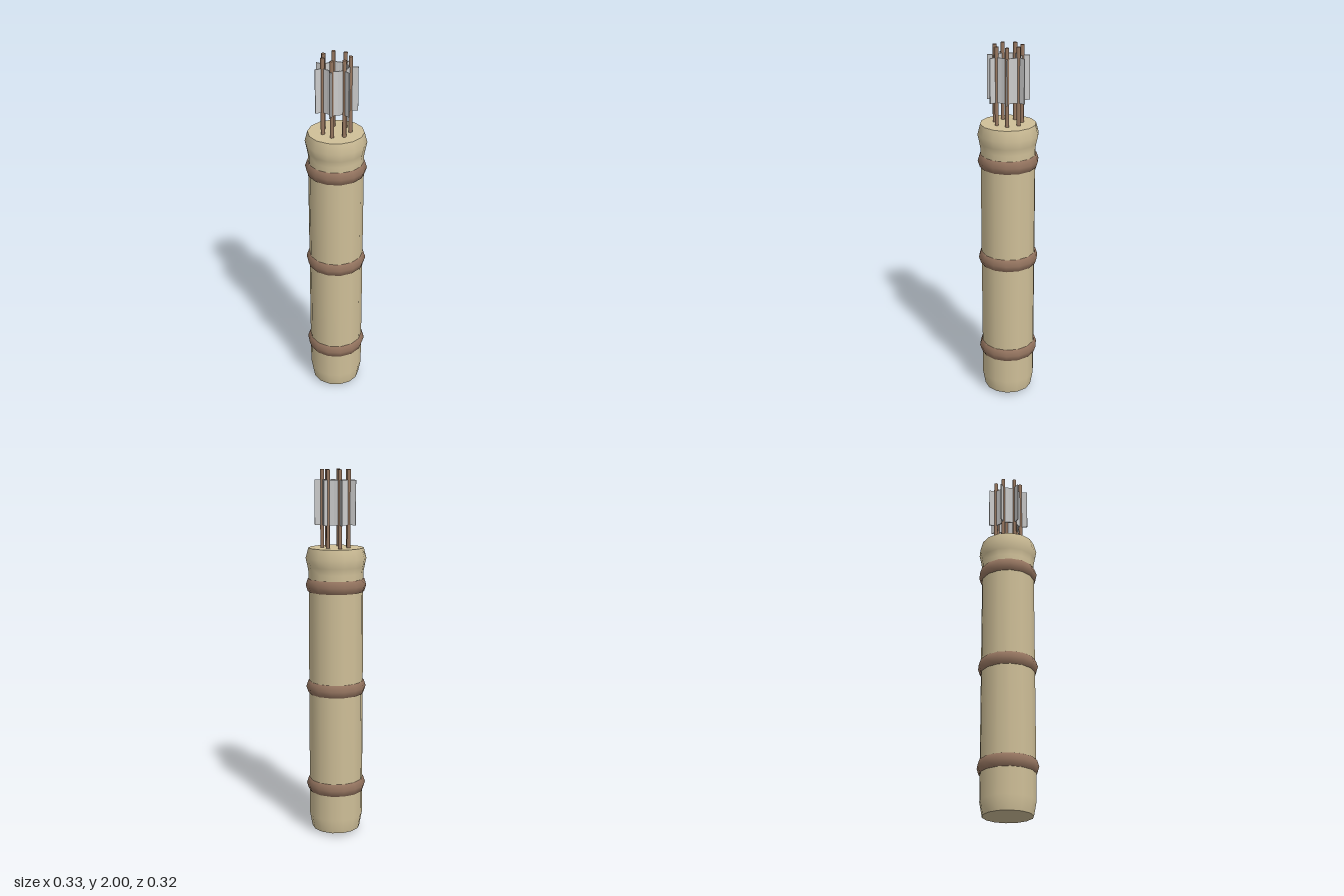
import * as THREE from 'three';

const SIDES = 14;
const hide = new THREE.MeshStandardMaterial({ color: 0xcfbf98 });
const strap = new THREE.MeshStandardMaterial({ color: 0x957560 });
const wood = new THREE.MeshStandardMaterial({ color: 0x9c7b63 });
const feather = new THREE.MeshStandardMaterial({ color: 0xdcdcd8 });

function add(parent, name, geometry, material) {
  const mesh = new THREE.Mesh(geometry, material);
  mesh.name = name;
  parent.add(mesh);
  return mesh;
}

// Turned shape with a corner on the x axis; points run from bottom to top
function turned(points) {
  return new THREE.LatheGeometry(points.map(([r, y]) => new THREE.Vector2(r, y)), SIDES, Math.PI / 2);
}

function createArrow() {
  const arrow = new THREE.Group();
  arrow.name = 'arrow';
  const shaft = add(arrow, 'shaft', new THREE.CylinderGeometry(0.011, 0.011, 0.55, 5), wood);
  shaft.position.y = 1.725;
  shaft.rotation.y = Math.PI / 2;

  // Three vanes spaced evenly about the shaft
  for (let i = 0; i < 3; i++) {
    const vane = new THREE.BoxGeometry(0.04, 0.235, 0.006);
    vane.translate(0.02, 1.828, 0);
    add(arrow, 'vane', vane, feather).rotation.y = (i * Math.PI * 2) / 3;
  }
  return arrow;
}

export function createModel() {
  const quiver = new THREE.Group();
  quiver.name = 'quiver';

  // Body: tapered foot, straight tube and flared rim
  add(quiver, 'body', turned([
    [0.133, 0.017], [0.147, 0.095], [0.147, 1.455],
    [0.153, 1.49], [0.163, 1.535], [0.148, 1.59],
  ]), hide);
  add(quiver, 'base', turned([[0, 0], [0.133, 0.017]]), hide);
  add(quiver, 'mouth', turned([[0.148, 1.59], [0, 1.59]]), hide);

  // Straps around the body
  for (const y of [0.272, 0.83, 1.39]) {
    const band = turned([
      [0.14, -0.034], [0.152, -0.034], [0.163, 0], [0.152, 0.034], [0.14, 0.034],
    ]);
    add(quiver, 'strap', band, strap).position.y = y;
  }

  // Ring of arrows
  const count = 7;
  for (let i = 0; i < count; i++) {
    const angle = (i / count) * Math.PI * 2;
    const arrow = createArrow();
    arrow.position.set(0.073 * Math.cos(angle), 0, -0.073 * Math.sin(angle));
    arrow.rotation.y = angle;
    quiver.add(arrow);
  }
  return quiver;
}
